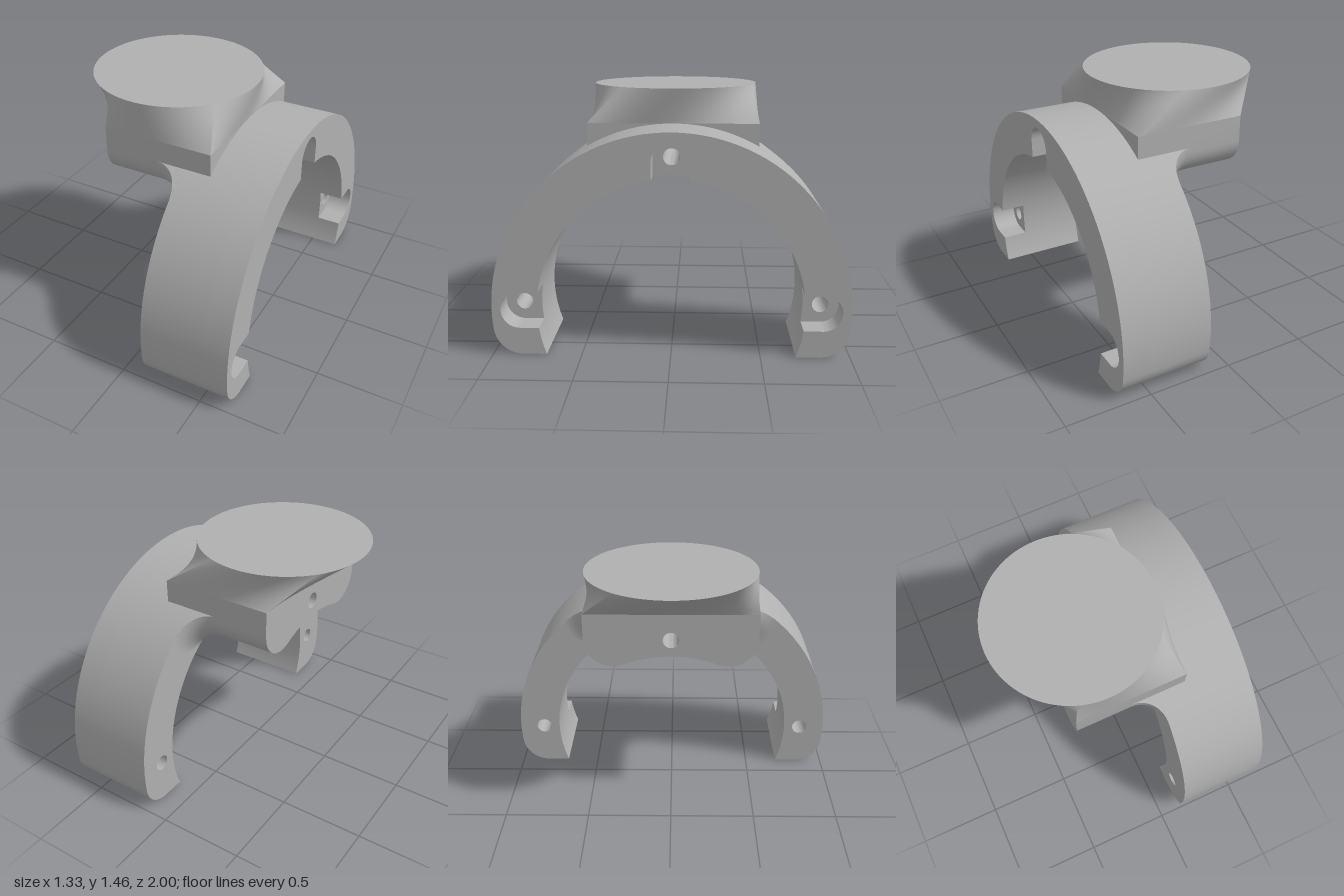
import * as THREE from 'three';
import { toCreasedNormals } from 'three/addons/utils/BufferGeometryUtils.js';

const CY = 0.26, R_OUT = 1, R_IN = 0.745, R_BOLT = 0.845; // arch centre height and radii
const FILLET = 0.165, HOLE = 0.047, POCKET = 0.105;
const X_BACK = 0.13, X_POCKET = 0.515, X_FRONT = 0.665;
const NECK_X0 = -0.365, NECK_X1 = -0.035, HALF = 0.495, DECK = 1.26;
const PLATE_X = -0.17, PLATE_Y = 1.46, CAP_X = 0.297;
const PI = Math.PI;

// Extrude a (z, y) outline along x from x0 to x1
function extrudeX(shape, x0, x1) {
  const g = new THREE.ExtrudeGeometry(shape, { depth: x1 - x0, bevelEnabled: false, curveSegments: 48 });
  g.rotateY(PI / 2);
  g.translate(x0, 0, 0);
  return toCreasedNormals(g, 0.5);
}

// Skin a list of closed rings with equal point counts
function loft(rings) {
  const n = rings[0].length, index = [];
  for (let j = 0; j < rings.length - 1; j++) {
    for (let i = 0; i < n; i++) {
      const k = (i + 1) % n, a = j * n + i, b = j * n + k;
      index.push(a, a + n, b, b, a + n, b + n);
    }
  }
  const g = new THREE.BufferGeometry().setFromPoints(rings.flat());
  g.setIndex(index);
  return toCreasedNormals(g, 0.5);
}

function boltHole(theta) {
  return new THREE.Path().absarc(R_BOLT * Math.cos(theta), CY + R_BOLT * Math.sin(theta), HOLE, 0, 2 * PI, true);
}

// Arch outline, optionally with slots cut in from the inner edge
function archShape(withPockets) {
  const s = new THREE.Shape();
  const fy = FILLET, fz = Math.sqrt((R_OUT - FILLET) ** 2 - (fy - CY) ** 2);
  const tip = Math.atan2(CY - fy, fz), foot = Math.asin(CY / R_IN);
  const footZ = R_IN * Math.cos(foot);
  s.moveTo(footZ, 0);
  s.lineTo(fz, 0);
  s.absarc(fz, fy, FILLET, -PI / 2, -tip, false);
  s.absarc(0, CY, R_OUT, -tip, PI + tip, false);
  s.absarc(-fz, fy, FILLET, PI + tip, 1.5 * PI, false);
  s.lineTo(-footZ, 0);
  let from = PI + foot;
  if (withPockets) {
    const a = Math.asin(POCKET / R_IN);
    for (const t of [PI, PI / 2, 0]) {
      s.absarc(0, CY, R_IN, from, t + a, true);
      s.absarc(R_BOLT * Math.cos(t), CY + R_BOLT * Math.sin(t), POCKET, t + PI / 2, t - PI / 2, true);
      from = t - a;
    }
  }
  s.absarc(0, CY, R_IN, from, -foot, true);
  if (!withPockets) s.holes = [0, PI / 2, PI].map(boltHole);
  return s;
}

// Neck cross-section of half width w: rounded lower corners, arched underside
function neckSection(w, flatTop) {
  const pts = [], cz = w - FILLET, cy = Math.sqrt((R_IN + FILLET) ** 2 - cz * cz);
  const alpha = Math.atan2(cy, cz), N = 12, M = 24;
  const corner = [];
  for (let i = 0; i <= N; i++) {
    const a = (alpha - PI) * (1 - i / N);
    const z = cz + FILLET * Math.cos(a);
    const y = Math.min(cy + FILLET * Math.sin(a), Math.sqrt(R_OUT * R_OUT - z * z) - 0.0005);
    corner.push([z, CY + y]);
  }
  pts.push(...corner);
  if (flatTop) pts.push([w, DECK], [-w, DECK]);
  else {
    const beta = Math.acos(w / R_OUT);
    for (let i = 0; i <= M; i++) {
      const a = beta + (PI - 2 * beta) * i / M;
      pts.push([R_OUT * Math.cos(a), CY + R_OUT * Math.sin(a)]);
    }
  }
  pts.push(...corner.slice().reverse().map(([z, y]) => [-z, y]));
  for (let i = 1; i < M; i++) {
    const a = PI - alpha - (PI - 2 * alpha) * i / M;
    pts.push([R_IN * Math.cos(a), CY + R_IN * Math.sin(a)]);
  }
  return pts;
}

// Flare where the neck widens into the arch
function flareGeometry() {
  const rings = [];
  for (let j = 0; j <= 14; j++) {
    const t = (j / 14) * PI / 2;
    const x = NECK_X1 + FILLET * Math.sin(t), w = HALF + FILLET * (1 - Math.cos(t));
    rings.push(neckSection(w, false).map(([z, y]) => new THREE.Vector3(x, y, z)));
  }
  return loft(rings);
}

// Slightly twisted transition from the rectangular deck to the round plate
function transitionGeometry() {
  const corners = [[CAP_X, HALF], [NECK_X0, HALF], [NECK_X0, -HALF], [CAP_X, -HALF]];
  const angles = [38, 110, 218, 290, 398], N = 24, ROWS = 10;
  const low = [], high = [];
  for (let c = 0; c < 4; c++) {
    const [ax, az] = corners[c], [bx, bz] = corners[(c + 1) % 4];
    for (let i = 0; i < N; i++) {
      const f = i / N, a = THREE.MathUtils.degToRad(angles[c] + (angles[c + 1] - angles[c]) * f);
      low.push(new THREE.Vector3(ax + (bx - ax) * f, DECK, az + (bz - az) * f));
      high.push(new THREE.Vector3(PLATE_X + HALF * Math.cos(a), PLATE_Y, HALF * Math.sin(a)));
    }
  }
  const rings = [];
  for (let j = 0; j <= ROWS; j++) rings.push(low.map((p, i) => p.clone().lerp(high[i], j / ROWS)));
  return loft(rings);
}

export function createModel() {
  const group = new THREE.Group();
  const grey = new THREE.MeshStandardMaterial({ color: 0xb0b0b0 });
  grey.name = 'grey';
  const greyOpen = grey.clone();
  greyOpen.side = THREE.DoubleSide;
  const add = (name, geometry, material = grey) => {
    const m = new THREE.Mesh(geometry, material);
    m.name = name;
    group.add(m);
    return m;
  };

  // Arch in two layers: drilled back, pocketed front
  add('archBack', extrudeX(archShape(false), X_BACK, X_POCKET));
  add('archFront', extrudeX(archShape(true), X_POCKET, X_FRONT));

  // Neck with its bolt hole
  const neck = new THREE.Shape(neckSection(HALF, true).map(([z, y]) => new THREE.Vector2(z, y)));
  neck.holes.push(boltHole(PI / 2));
  add('neck', extrudeX(neck, NECK_X0, NECK_X1));
  add('neckFlare', flareGeometry());
  const bore = new THREE.CylinderGeometry(HOLE, HOLE, X_BACK - NECK_X1, 48, 1, true);
  bore.rotateZ(PI / 2);
  bore.translate((X_BACK + NECK_X1) / 2, CY + R_BOLT, 0);
  add('neckBore', bore, greyOpen);

  // Deck saddle resting on the arch
  const saddle = new THREE.Shape();
  const rs = 0.995, a = Math.acos(HALF / rs);
  saddle.moveTo(HALF, DECK);
  saddle.lineTo(-HALF, DECK);
  saddle.absarc(0, CY, rs, PI - a, a, true);
  add('deckSaddle', extrudeX(saddle, NECK_X1, CAP_X));

  // Round mounting plate and its transition
  add('plateTransition', transitionGeometry());
  const plate = new THREE.CircleGeometry(HALF, 96);
  plate.rotateX(-PI / 2);
  plate.translate(PLATE_X, PLATE_Y, 0);
  add('roundPlate', plate);
  return group;
}
